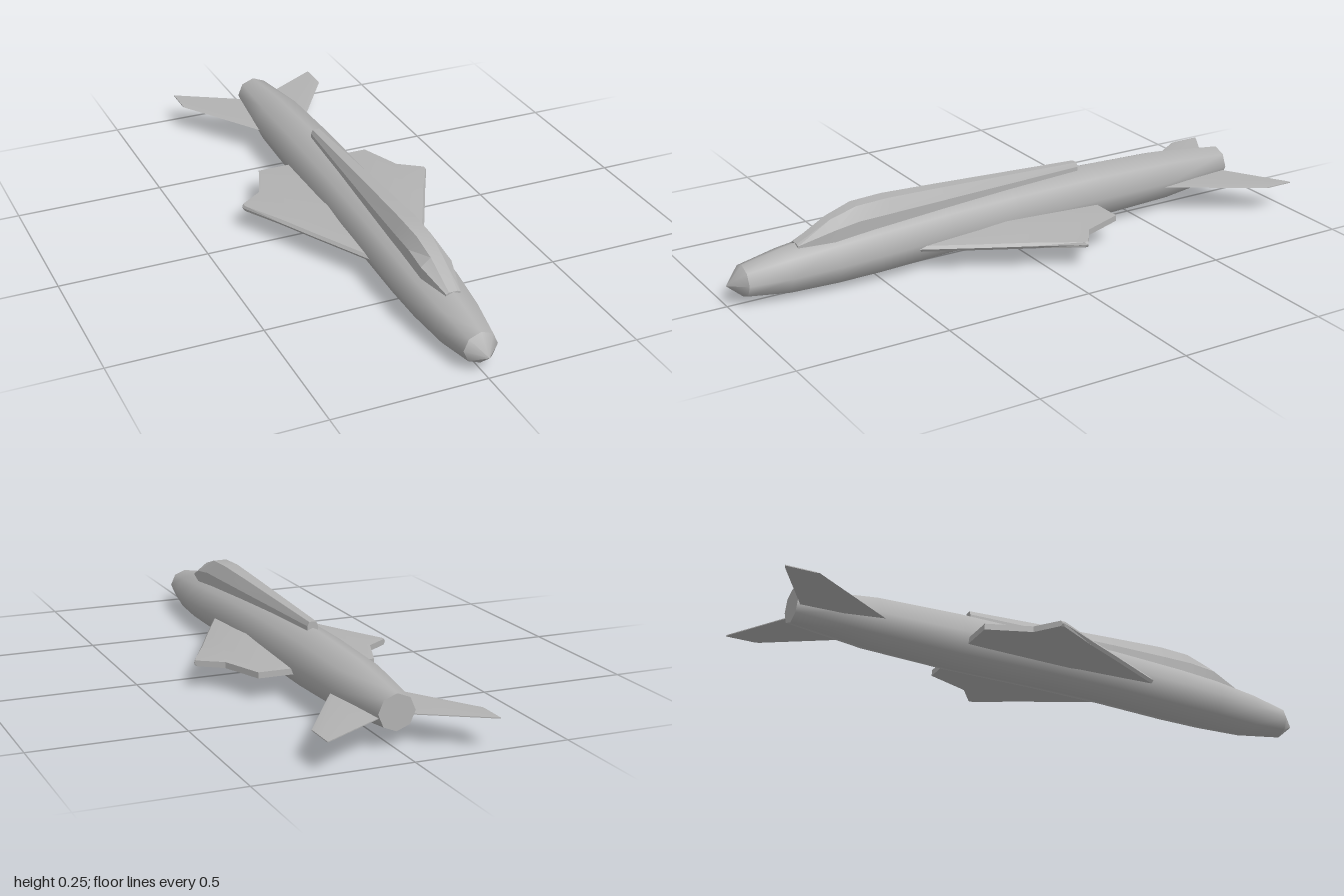
import * as THREE from 'three';
import { toCreasedNormals } from 'three/addons/utils/BufferGeometryUtils.js';

// Skin a list of rings (each a loop of [x, y, z]) and close both ends.
function loft(rings, creaseAngle) {
  const n = rings[0].length;
  const tris = [];
  for (let s = 0; s < rings.length - 1; s++) {
    for (let i = 0; i < n; i++) {
      const j = (i + 1) % n;
      const a = rings[s][i], b = rings[s][j], c = rings[s + 1][j], d = rings[s + 1][i];
      tris.push([a, b, c], [a, c, d]);
    }
  }
  const last = rings[rings.length - 1];
  for (let i = 1; i < n - 1; i++) {
    tris.push([rings[0][0], rings[0][i + 1], rings[0][i]]);
    tris.push([last[0], last[i], last[i + 1]]);
  }
  // Keep faces outward whichever way the rings run, and drop collapsed ones.
  const v = (p) => new THREE.Vector3(...p);
  let volume = 0;
  for (const [a, b, c] of tris) volume += v(a).dot(v(b).cross(v(c)));
  const pos = [];
  for (const [a, b, c] of tris) {
    const area = v(b).sub(v(a)).cross(v(c).sub(v(a))).length();
    if (area > 1e-8) pos.push(...(volume > 0 ? [a, b, c] : [a, c, b]).flat());
  }
  const g = new THREE.BufferGeometry();
  g.setAttribute('position', new THREE.Float32BufferAttribute(pos, 3));
  g.computeVertexNormals();
  return toCreasedNormals(g, creaseAngle);
}

export function createModel() {
  const model = new THREE.Group();
  const grey = new THREE.MeshStandardMaterial({ color: 0xb2b2b2 });
  const add = (name, rings, crease) => {
    const mesh = new THREE.Mesh(loft(rings, crease), grey);
    mesh.name = name;
    model.add(mesh);
  };

  // Octagonal fuselage: [z, half width, bottom, top]
  const octagon = ([z, w, y0, y1]) => Array.from({ length: 8 }, (_, i) => {
    const a = (i * Math.PI) / 4;
    return [w * Math.cos(a), (y0 + y1) / 2 + ((y1 - y0) / 2) * Math.sin(a), z];
  });
  const body = [
    [0.945, 0.056, 0.022, 0.128], [0.81, 0.081, 0.003, 0.155], [0.65, 0.098, 0.001, 0.175],
    [0.5, 0.102, 0.003, 0.187], [0.25, 0.1, 0.012, 0.2], [0, 0.098, 0.015, 0.207],
    [-0.33, 0.096, 0.013, 0.21], [-0.62, 0.09, 0.025, 0.2], [-0.88, 0.06, 0.055, 0.17],
  ];
  add('fuselage', body.map(octagon), 0.9);

  // Pointed nose cap
  add('noseCone', [[1, 0.0001, 0.0699, 0.0701], body[0]].map(octagon), 0.9);

  // Canopy and spine: [z, base half width, shoulder y, top half width, top y]
  const canopy = [
    [0.765, 0.024, 0.158, 0.014, 0.162], [0.65, 0.051, 0.195, 0.019, 0.222],
    [0.56, 0.049, 0.207, 0.024, 0.25], [0.45, 0.047, 0.209, 0.025, 0.255],
    [0.25, 0.041, 0.212, 0.021, 0.249], [-0.275, 0.018, 0.216, 0.012, 0.23],
  ];
  add('canopy', canopy.map(([z, w, ys, t, y]) => [
    [w, 0.14, z], [w, ys, z], [t, y, z], [-t, y, z], [-w, ys, z], [-w, 0.14, z],
  ]), 0.3);

  // Wings: [x, leading z, trailing z, ridge z, ridge top, ridge bottom]
  const wing = [
    [0.05, 0.46, -0.31, 0.08, 0.119, 0.07], [0.2, 0.17, -0.31, 0.0, 0.106, 0.066],
    [0.255, 0.06, -0.165, -0.04, 0.1, 0.066], [0.333, -0.09, -0.11, -0.1, 0.094, 0.075],
    [0.338, -0.1, -0.106, -0.103, 0.087, 0.083],
  ];
  // Tailplanes: thin and nearly flat
  const tail = [
    [0.04, -0.53, -0.862, -0.7, 0.101, 0.091], [0.26, -0.872, -0.995, -0.94, 0.1, 0.095],
    [0.272, -0.89, -1, -0.96, 0.099, 0.096],
  ];
  const panel = (stations, side, top, bottom) => stations.map(([x, le, te, mid, yt, yb]) => {
    const t = Math.min(top, yt), b = Math.max(bottom, yb), in1 = Math.min(0.015, (le - te) / 4);
    return [
      [side * x, (t + b) / 2, le], [side * x, t, le - in1], [side * x, yt, mid],
      [side * x, t, te], [side * x, b, te], [side * x, yb, mid], [side * x, b, le - in1],
    ];
  });
  for (const [name, side] of [['left', 1], ['right', -1]]) {
    add(name + 'Wing', panel(wing, side, 0.095, 0.075), 0.3);
    add(name + 'Tailplane', panel(tail, side, 0.099, 0.096), 0.3);
  }
  return model;
}
